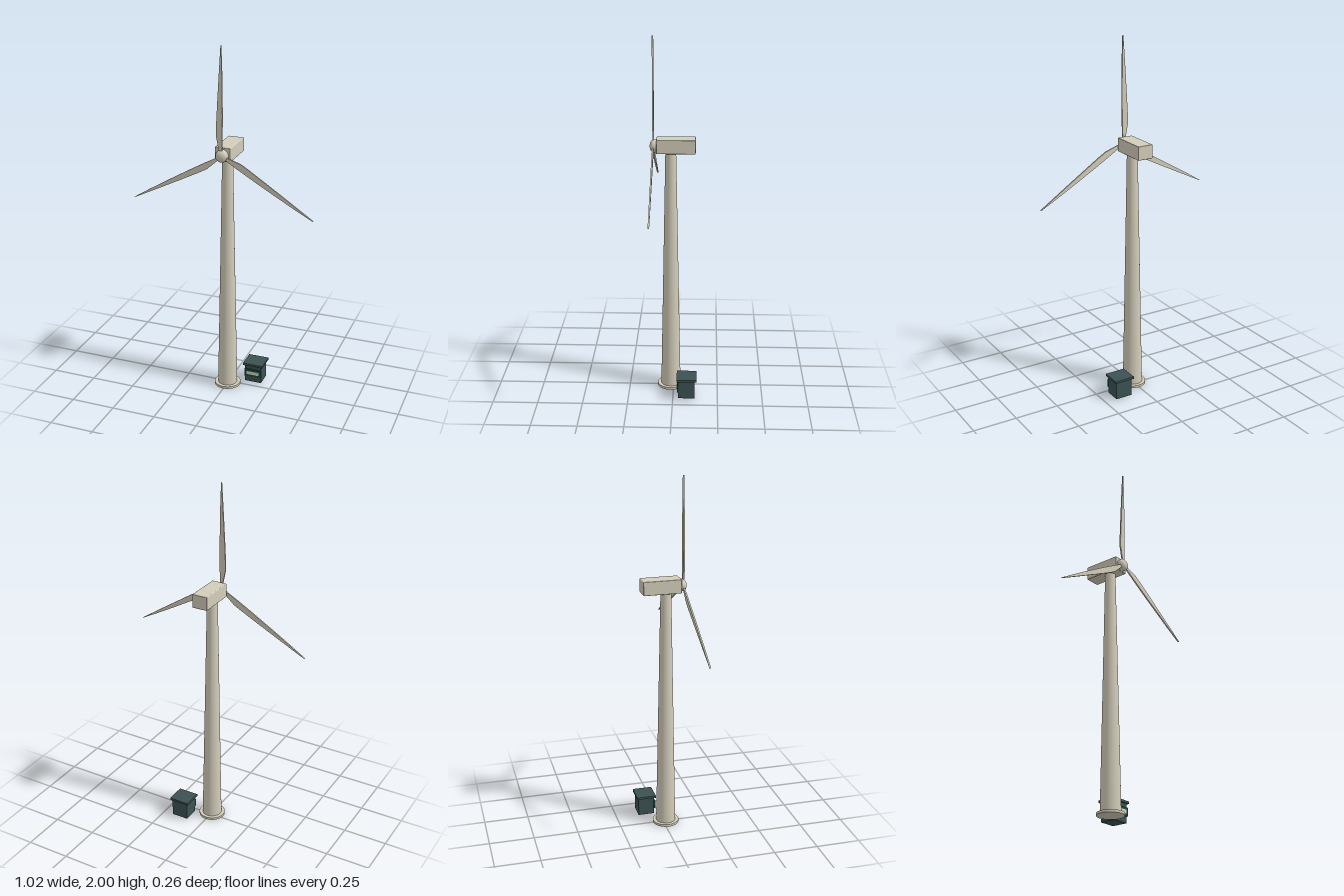
import * as THREE from 'three';
import { RoundedBoxGeometry } from 'three/addons/geometries/RoundedBoxGeometry.js';

const material = (name, color) => {
  const m = new THREE.MeshStandardMaterial({ color });
  m.name = name;
  return m;
};

export function createModel() {
  const cream = material('warm cream', 0xd3cdba);
  const slate = material('dark slate', 0x3d5253);
  const green = material('dark green', 0x1d4a3b);
  const pale = material('pale sign', 0xd8d6bc);

  const model = new THREE.Group();
  model.name = 'windTurbine';

  const add = (name, geometry, mat, x, y, z, parent = model) => {
    const mesh = new THREE.Mesh(geometry, mat);
    mesh.name = name;
    mesh.position.set(x, y, z);
    parent.add(mesh);
    return mesh;
  };

  // Foundation and tapered tower
  const towerZ = 0.016;
  add('foundation', new THREE.CylinderGeometry(0.074, 0.074, 0.014, 48), cream, 0, 0.007, towerZ);
  add('tower', new THREE.CylinderGeometry(0.029, 0.055, 1.37, 48), cream, 0, 0.699, towerZ);

  // Nacelle
  add('nacelle', new RoundedBoxGeometry(0.088, 0.077, 0.211, 2, 0.004), cream, 0, 1.417, -0.0125);

  // Rotor: hub with domed nose and three blades
  const rotor = new THREE.Group();
  rotor.name = 'rotor';
  rotor.position.set(0, 1.413, 0.11);
  model.add(rotor);

  const profile = [new THREE.Vector2(0.034, -0.022), new THREE.Vector2(0.034, -0.004)];
  for (let i = 1; i <= 10; i++) {
    const a = (i / 10) * Math.PI / 2;
    profile.push(new THREE.Vector2(i === 10 ? 0 : 0.034 * Math.cos(a), -0.004 + 0.023 * Math.sin(a)));
  }
  const hub = new THREE.LatheGeometry(profile, 36);
  hub.rotateX(Math.PI / 2);
  add('hub', hub, cream, 0, 0, 0, rotor);

  // Flat blade, broad near the root with a bulging trailing edge
  const outline = [
    [0.008, 0.015], [0.005, 0.045], [0.007, 0.11], [0.008, 0.22], [0.007, 0.36], [0.005, 0.48],
    [0.001, 0.587], [-0.001, 0.587], [-0.012, 0.42], [-0.021, 0.27], [-0.027, 0.16],
    [-0.028, 0.11], [-0.017, 0.055], [-0.008, 0.015],
  ];
  const bladeShape = new THREE.Shape(outline.map(([x, y]) => new THREE.Vector2(x, y)));
  const bladeGeometry = new THREE.ExtrudeGeometry(bladeShape, { depth: 0.008, bevelEnabled: false });
  bladeGeometry.translate(0, 0, -0.004);
  for (let i = 0; i < 3; i++) {
    add(`blade${i + 1}`, bladeGeometry, cream, 0, 0, 0, rotor).rotation.z = i * Math.PI * 2 / 3;
  }

  // Transformer cabinet beside the tower
  const cabinet = new THREE.Group();
  cabinet.name = 'cabinet';
  cabinet.position.set(0.139, 0, -0.076);
  model.add(cabinet);
  add('cabinetBody', new THREE.BoxGeometry(0.098, 0.104, 0.092), slate, 0, 0.06, 0, cabinet);
  add('cabinetRoof', new THREE.BoxGeometry(0.118, 0.013, 0.111), slate, 0, 0.118, 0, cabinet);
  add('signPanel', new THREE.BoxGeometry(0.102, 0.046, 0.009), green, 0, 0.066, 0.0485, cabinet);
  add('signPlate', new THREE.BoxGeometry(0.074, 0.02, 0.002), pale, 0, 0.066, 0.0535, cabinet);

  return model;
}
